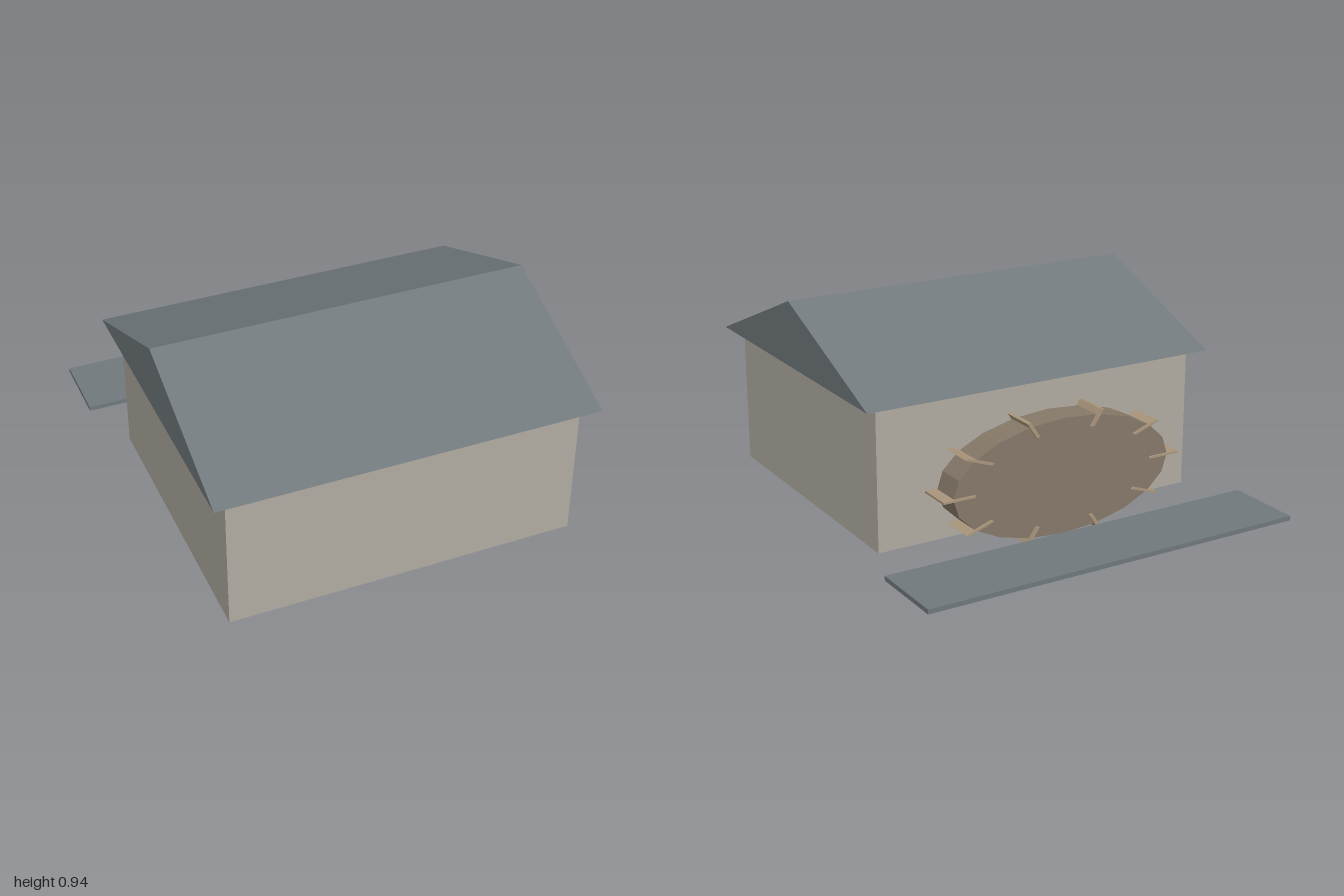
import * as THREE from 'three';

const mat = (name, color) => {
  const m = new THREE.MeshStandardMaterial({ color, flatShading: true });
  m.name = name;
  return m;
};

export function createModel() {
  const model = new THREE.Group();
  model.name = 'waterMill';
  const stone = mat('stone', 0xb0aaa0);
  const slate = mat('slate', 0x70787c);
  const darkWood = mat('darkWood', 0x857868);
  const lightWood = mat('lightWood', 0xa8947a);

  const add = (parent, name, geometry, material, x = 0, y = 0, z = 0) => {
    const mesh = new THREE.Mesh(geometry, material);
    mesh.name = name;
    mesh.position.set(x, y, z);
    parent.add(mesh);
    return mesh;
  };

  // Mill house
  add(model, 'walls', new THREE.BoxGeometry(1.54, 0.63, 1.32), stone, 0, 0.335, 0.277);

  // Gable roof: triangular section in (-z, y), extruded along x
  const gable = new THREE.Shape();
  gable.moveTo(-1, 0.65);
  gable.lineTo(0.443, 0.65);
  gable.lineTo(-0.278, 0.94);
  gable.closePath();
  const roof = new THREE.ExtrudeGeometry(gable, { depth: 1.67, bevelEnabled: false });
  roof.translate(0, 0, -0.835);
  roof.rotateY(Math.PI / 2);
  add(model, 'roof', roof, slate);

  // Flattened water wheel behind the house
  const wheel = new THREE.Group();
  wheel.name = 'waterWheel';
  wheel.position.set(0, 0.27, -0.515);
  wheel.scale.y = 0.484;
  model.add(wheel);
  const drum = new THREE.CylinderGeometry(0.53, 0.53, 0.134, 20);
  drum.rotateX(Math.PI / 2);
  add(wheel, 'wheelDrum', drum, darkWood);

  // Ten radial paddles, baked into place so the flattening shears them
  for (let i = 0; i < 10; i++) {
    const paddle = new THREE.BoxGeometry(0.15, 0.018, 0.154);
    paddle.translate(0.506, 0, 0);
    paddle.rotateZ((i * Math.PI) / 5);
    add(wheel, 'paddle', paddle, lightWood);
  }

  // Water channel slab
  add(model, 'channel', new THREE.BoxGeometry(1.76, 0.02, 0.35), slate, 0, 0.041, -0.825);

  return model;
}
